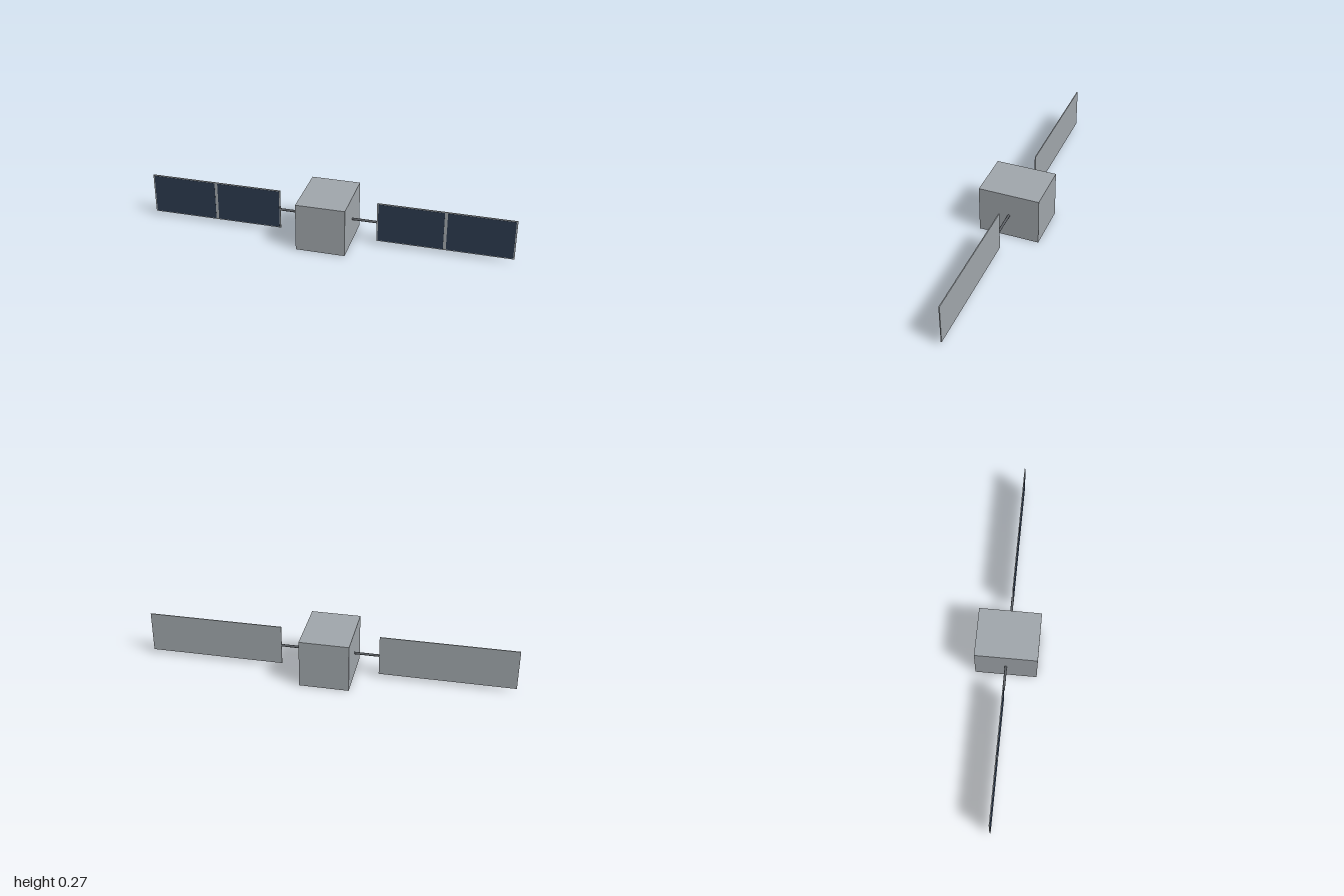
import * as THREE from 'three';

export function createModel() {
  const model = new THREE.Group();
  model.name = 'satellite';

  const material = (name, color) => {
    const m = new THREE.MeshStandardMaterial({ color });
    m.name = name;
    return m;
  };
  const hull = material('hull grey', 0xa0a6ab);
  const boomGrey = material('boom dark grey', 0x5a5e63);
  const cellBlue = material('solar cell navy', 0x2c3a4e);

  const midY = 0.1333;
  const add = (parent, name, geometry, mat, x, y, z) => {
    const mesh = new THREE.Mesh(geometry, mat);
    mesh.name = name;
    mesh.position.set(x, y, z);
    parent.add(mesh);
    return mesh;
  };

  // Central body
  add(model, 'body', new THREE.BoxGeometry(0.2667, 0.2667, 0.3333), hull, 0, midY, 0);

  // One boom and one solar wing on each side
  const panelLength = 0.7333, panelHeight = 0.2267, panelDepth = 0.005;
  const panelX = 1 - panelLength / 2;
  const gap = 0.016, margin = 0.007;
  const cellLength = (panelLength - gap) / 2 - margin;
  for (const side of [-1, 1]) {
    const wing = new THREE.Group();
    wing.name = side > 0 ? 'leftWing' : 'rightWing';
    model.add(wing);

    const boom = add(wing, 'boom', new THREE.CylinderGeometry(0.0067, 0.0067, 0.1333, 16),
      boomGrey, side * 0.2, midY, 0);
    boom.rotation.z = Math.PI / 2;

    add(wing, 'panel', new THREE.BoxGeometry(panelLength, panelHeight, panelDepth),
      hull, side * panelX, midY, 0);

    // Two thin cell plates on the front face
    for (const half of [-1, 1]) {
      add(wing, 'solarCells', new THREE.BoxGeometry(cellLength, panelHeight - 0.01, 0.001),
        cellBlue, side * panelX + half * (gap + cellLength) / 2, midY, panelDepth / 2 + 0.0005);
    }
  }

  return model;
}
